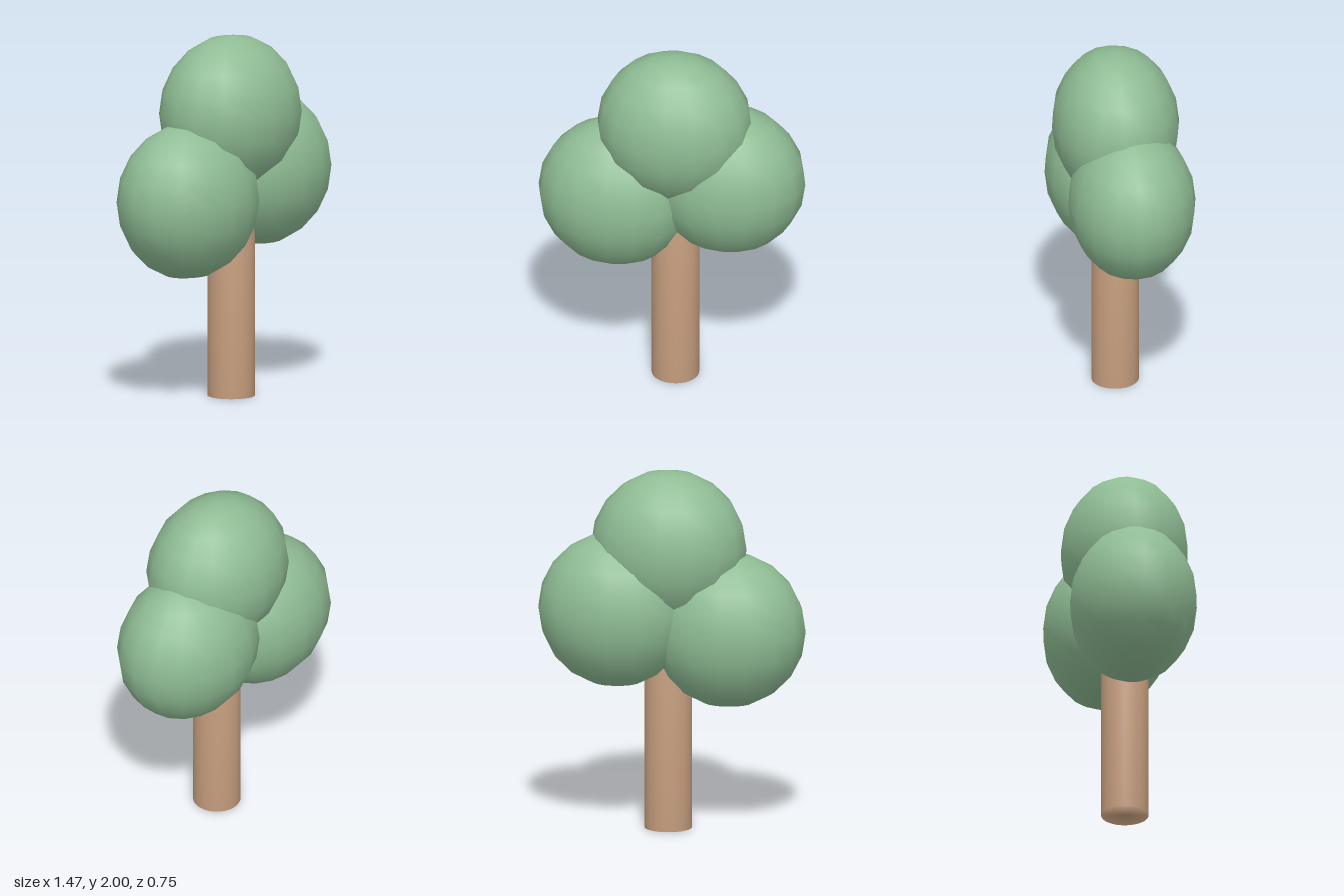
import * as THREE from 'three';
import { mergeVertices } from 'three/addons/utils/BufferGeometryUtils.js';

// Weld shared corners so shading flows over the whole surface
function smooth(geometry) {
  geometry.deleteAttribute('normal');
  geometry.deleteAttribute('uv');
  const welded = mergeVertices(geometry, 1e-4);
  welded.computeVertexNormals();
  return welded;
}

export function createModel() {
  const tree = new THREE.Group();
  tree.name = 'tree';
  const bark = new THREE.MeshStandardMaterial({ color: 0xc8a080 });
  const leaf = new THREE.MeshStandardMaterial({ color: 0x8fbc94 });

  // Trunk: straight capped cylinder reaching up into the foliage
  const height = 1.25;
  const trunk = new THREE.Mesh(smooth(new THREE.CylinderGeometry(0.13, 0.13, height, 32)), bark);
  trunk.name = 'trunk';
  trunk.position.set(0.025, height / 2, 0.028);
  tree.add(trunk);

  // Foliage: three equal balls, flattened front to back
  const ball = smooth(new THREE.SphereGeometry(0.43, 16, 10).scale(1, 1, 0.35 / 0.43));
  const clumps = [
    ['topFoliage', 0.022, 1.57, 0.025],
    ['rightFoliage', -0.305, 1.12, 0.025],
    ['leftFoliage', 0.305, 1.228, -0.03],
  ];
  for (const [name, x, y, z] of clumps) {
    const clump = new THREE.Mesh(ball, leaf);
    clump.name = name;
    clump.position.set(x, y, z);
    tree.add(clump);
  }
  return tree;
}
